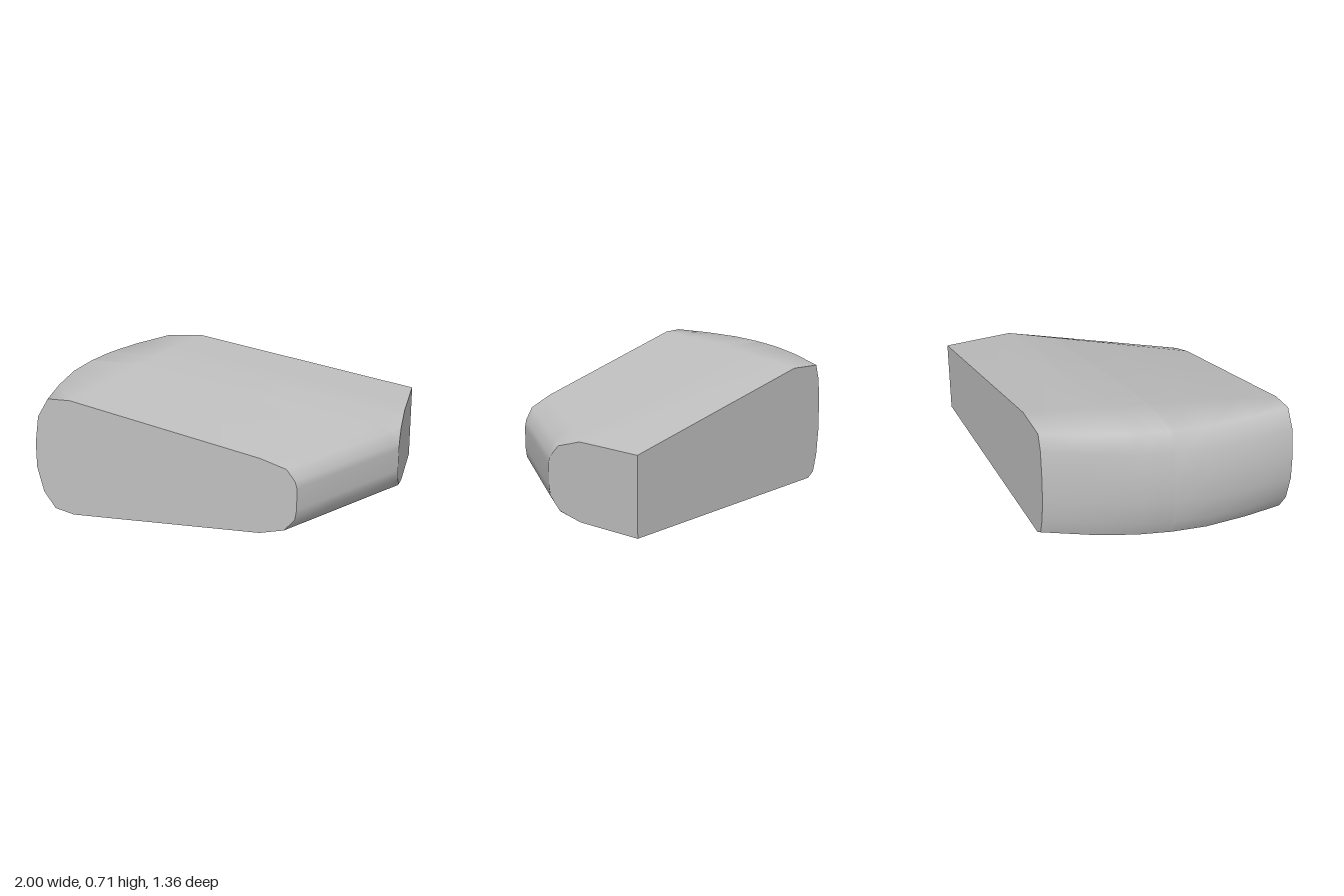
import * as THREE from 'three';
import { mergeVertices } from 'three/addons/utils/BufferGeometryUtils.js';

const { lerp, clamp } = THREE.MathUtils;

// Section positions from front to back; the end wall starts at index WALL
const Z = [0.68, 0.45, 0.2, 0, -0.02, -0.03, -0.06, -0.1, -0.18, -0.26, -0.42, -0.68];
const WALL = 4;

// Rounded edge: [inset, height]
const LOWER = [[0.21, 0], [0.07, 0.03], [0.01, 0.1], [0, 0.16]];
const UPPER = [[0, 0.29], [0.01, 0.33], [0.06, 0.4], [0.21, 0.452]];
const LEFT = [[0.085, 0.7], [0.022, 0.59], [0, 0.43], [0, 0.28], [0.035, 0.13], [0.1, 0.03], [0.21, 0]];
// Curved side outline: [z, x]
const BOW = [[-0.68, -0.62], [-0.42, -0.775], [-0.2, -0.88], [0, -0.945], [0.2, -0.987], [0.45, -1], [0.68, -0.994]];

function interp(table, t) {
  if (t <= table[0][0]) return table[0][1];
  for (let i = 1; i < table.length; i++) {
    const [a, u] = table[i - 1], [b, v] = table[i];
    if (t <= b) return lerp(u, v, (t - a) / (b - a));
  }
  return table[table.length - 1][1];
}

// Cross-section at z, counter-clockwise from the front, cut off at x = 1
function section(z) {
  const t = (0.68 - z) / 1.36;
  const edge = 0.52 + (0.68 - z) * 0.6857;
  const s = lerp(1, 0.7, clamp(t, 0, 1));
  const cut = Math.max(0, edge - 1) / s;
  const round = (chain, sorted) => chain.map(([off, y]) => off > cut
    ? [edge - off * s, y, z]
    : [Math.min(1, edge - cut * s), cut > 0 ? interp(sorted, cut) : y, z]);
  const bow = interp(BOW, z), inset = lerp(1, 0.45, t);
  const crown = 0.01 * (1 - (z / 0.68) ** 2);
  return [
    ...round(LOWER, [...LOWER].reverse()),
    ...round(UPPER, UPPER),
    [lerp(-0.78, -0.36, t), 0.7 + crown, z],
    ...LEFT.map(([off, y], i) => [bow + off * inset, i === 0 ? y + crown - 0.015 * t * t : y, z]),
  ];
}

function geometry(positions, smooth) {
  let g = new THREE.BufferGeometry();
  g.setAttribute('position', new THREE.Float32BufferAttribute(positions, 3));
  if (smooth) g = mergeVertices(g, 1e-4);
  g.computeVertexNormals();
  return g;
}

export function createModel() {
  const group = new THREE.Group();
  const grey = new THREE.MeshStandardMaterial({ color: 0xc0c0c0 });
  grey.name = 'grey';
  const rings = Z.map(section);
  const n = rings[0].length;

  const add = (name, positions, smooth) => {
    const mesh = new THREE.Mesh(geometry(positions, smooth), grey);
    mesh.name = name;
    group.add(mesh);
  };

  // Quads between neighbouring sections for profile steps j0..j1
  const strip = (j0, j1, keep = () => true) => {
    const out = [];
    for (let i = 0; i < rings.length - 1; i++) {
      for (let j = j0; j < j1; j++) {
        if (!keep(i, j)) continue;
        const a = rings[i][j % n], b = rings[i][(j + 1) % n];
        const d = rings[i + 1][j % n], c = rings[i + 1][(j + 1) % n];
        out.push(...a, ...d, ...c, ...a, ...c, ...b);
      }
    }
    return out;
  };

  // Flat end face, fanned from its middle
  const cap = (ring, flip) => {
    const mid = [0, 0.3, ring[0][2]], out = [];
    ring.forEach((p, j) => {
      const q = ring[(j + 1) % n];
      out.push(...mid, ...(flip ? q : p), ...(flip ? p : q));
    });
    return out;
  };

  const isWall = (i, j) => i >= WALL && j === 3;
  add('roundedShell', strip(1, n - 2, (i, j) => !isWall(i, j)), true);
  add('endWall', strip(3, 4, isWall), false);
  add('underside', strip(n - 2, n + 1), true);
  add('frontFace', cap(rings[0], false), false);
  add('backFace', cap(rings[rings.length - 1], true), false);
  return group;
}
